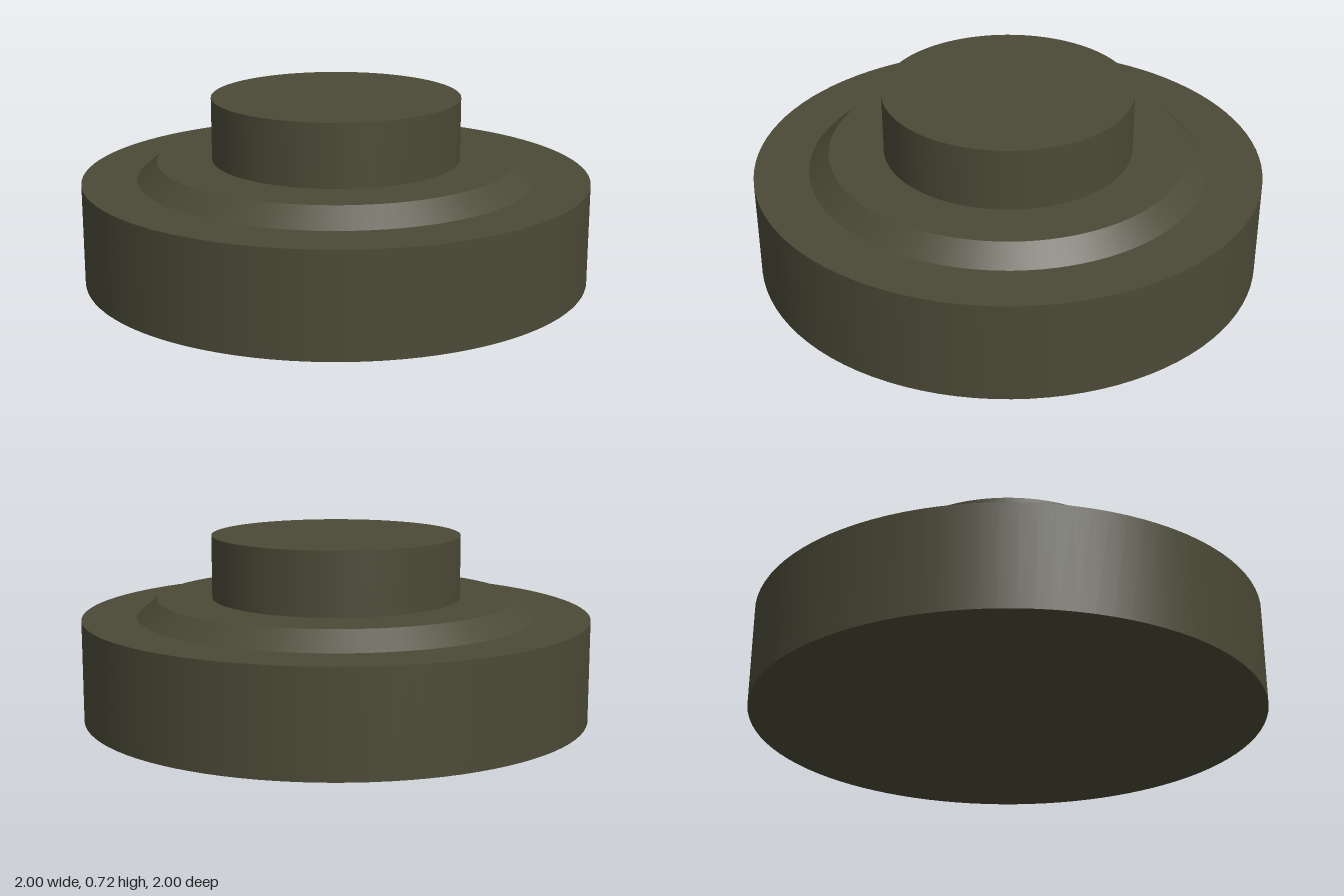
import * as THREE from 'three';

const SEGMENTS = 96;

export function createModel() {
  const model = new THREE.Group();
  model.name = 'steppedDisc';
  const olive = new THREE.MeshStandardMaterial({ color: 0x4b4a37 });
  olive.name = 'dark olive';

  // Adds one round tier standing between two heights
  const addTier = (name, topRadius, bottomRadius, bottom, top) => {
    const geometry = new THREE.CylinderGeometry(topRadius, bottomRadius, top - bottom, SEGMENTS);
    const mesh = new THREE.Mesh(geometry, olive);
    mesh.name = name;
    mesh.position.y = (bottom + top) / 2;
    model.add(mesh);
  };

  addTier('baseDisc', 1, 1, 0, 0.4);
  addTier('bevelledCollar', 0.705, 0.785, 0.4, 0.47);
  addTier('topButton', 0.49, 0.49, 0.47, 0.717);

  return model;
}
